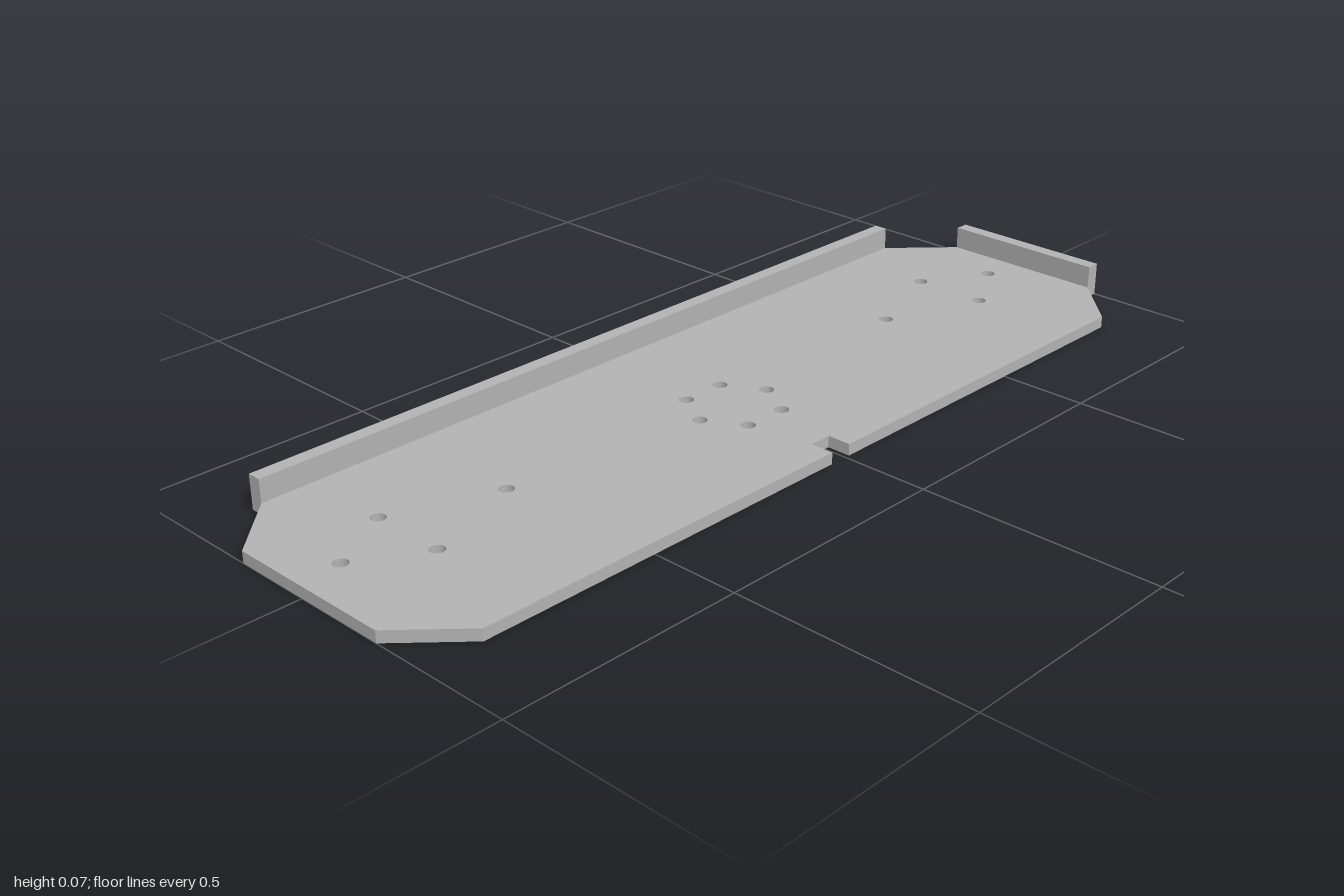
import * as THREE from 'three';

const THICKNESS = 0.024;
const FLANGE_HEIGHT = 0.072;

export function createModel() {
  const group = new THREE.Group();
  group.name = 'mountingPlate';
  const grey = new THREE.MeshStandardMaterial({ color: 0xb2b2b2 });
  grey.name = 'plain grey';

  // Base plate outline (x, z): clipped corners and a notch in the left edge
  const outline = new THREE.Shape([
    [-0.167, 1], [-0.285, 0.88], [-0.285, -0.85], [-0.167, -0.97],
    [0.197, -0.97], [0.315, -0.85], [0.315, -0.01], [0.265, -0.01],
    [0.265, 0.038], [0.315, 0.038], [0.315, 0.88], [0.197, 1],
  ].map(([x, z]) => new THREE.Vector2(x, z)));

  // Screw holes: a diamond of four at each end and a ring of six in the middle
  const holes = [];
  for (const [far, pair, near] of [[-0.885, -0.743, -0.521], [0.91, 0.77, 0.547]]) {
    holes.push([-0.014, far], [-0.095, pair], [0.067, pair], [-0.014, near]);
  }
  for (let i = 0; i < 6; i++) {
    const a = Math.PI / 2 + (i * Math.PI) / 3;
    holes.push([0.041 + 0.095 * Math.cos(a), 0.013 + 0.095 * Math.sin(a)]);
  }
  for (const [x, z] of holes) {
    outline.holes.push(new THREE.Path().absarc(x, z, 0.015, 0, Math.PI * 2, true));
  }

  const plateGeometry = new THREE.ExtrudeGeometry(outline, {
    depth: THICKNESS, bevelEnabled: false, curveSegments: 24,
  });
  plateGeometry.rotateX(Math.PI / 2).translate(0, THICKNESS, 0);
  const plate = new THREE.Mesh(plateGeometry, grey);
  plate.name = 'basePlate';
  group.add(plate);

  // Upright flanges along the right side and the back
  const addFlange = (name, x0, x1, z0, z1) => {
    const flange = new THREE.Mesh(new THREE.BoxGeometry(x1 - x0, FLANGE_HEIGHT, z1 - z0), grey);
    flange.position.set((x0 + x1) / 2, FLANGE_HEIGHT / 2, (z0 + z1) / 2);
    flange.name = name;
    group.add(flange);
  };
  addFlange('sideFlange', -0.315, -0.285, -0.85, 0.88);
  addFlange('backFlange', -0.167, 0.197, -1, -0.97);

  return group;
}
